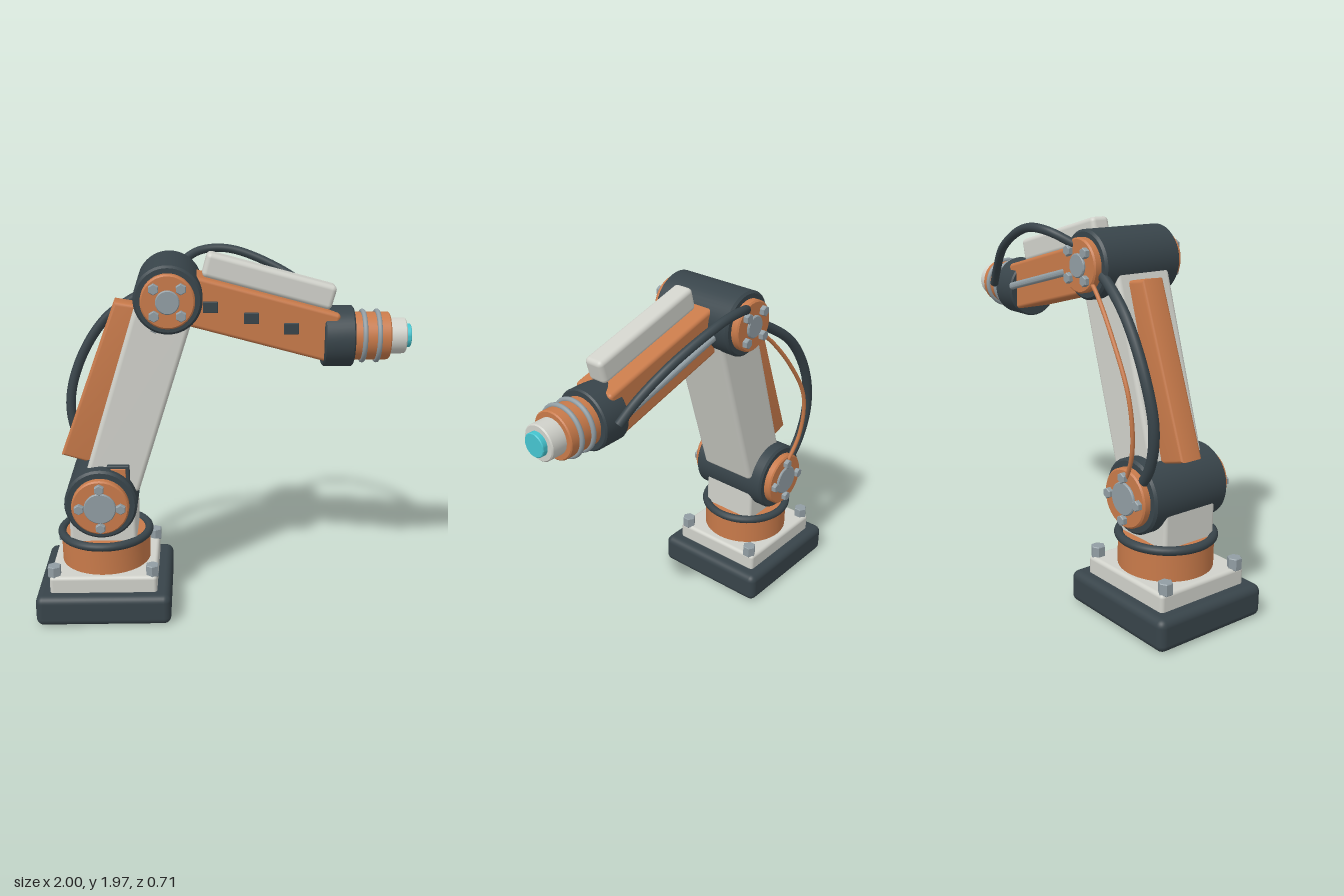
import * as THREE from 'three';
import { toCreasedNormals } from 'three/addons/utils/BufferGeometryUtils.js';
import { RoundedBoxGeometry } from 'three/addons/geometries/RoundedBoxGeometry.js';

const paint = (name, color) => {
  const m = new THREE.MeshStandardMaterial({ color });
  m.name = name;
  return m;
};

export function createModel() {
  const dark = paint('charcoal', 0x38444a);
  const orange = paint('orange', 0xc87a4a);
  const white = paint('offWhite', 0xd0d1ca);
  const steel = paint('steel', 0x919da3);
  const cyan = paint('cyan', 0x45c4cf);

  const model = new THREE.Group();
  model.name = 'robotArm';
  const Z = 0.015; // centre plane of the arm
  const BASE_X = -0.635;
  const ELBOW = [-0.262, 1.765];

  function add(parent, name, geometry, material, x = 0, y = 0, z = 0) {
    const mesh = new THREE.Mesh(geometry, material);
    mesh.name = name;
    mesh.position.set(x, y, z);
    parent.add(mesh);
    return mesh;
  }
  const group = (name, x, y, z) => {
    const g = new THREE.Group();
    g.name = name;
    g.position.set(x, y, z);
    model.add(g);
    return g;
  };
  const box = (w, h, d, r = 0.02) => new RoundedBoxGeometry(w, h, d, 4, r);

  // Cylinder with chamfered rims, along 'x', 'y' or 'z'
  function drum(r, length, axis = 'y', b = 0.01, sides = 48) {
    const h = length / 2;
    const profile = [[0, -h], [r - b, -h], [r, b - h], [r, h - b], [r - b, h], [0, h]]
      .map(([x, y]) => new THREE.Vector2(x, y));
    const g = new THREE.LatheGeometry(profile, sides);
    if (axis === 'x') g.rotateZ(-Math.PI / 2);
    if (axis === 'z') g.rotateX(Math.PI / 2);
    return toCreasedNormals(g, 0.5);
  }
  const bolt = (r, length, axis) => drum(r, length, axis, 0.004, 6);

  function cable(name, points, radius, material) {
    const curve = new THREE.CatmullRomCurve3(points.map(p => new THREE.Vector3(...p)));
    add(model, name, new THREE.TubeGeometry(curve, 64, radius, 12), material);
  }

  // Base with plate, corner bolts and turntable
  const base = group('base', BASE_X, 0, Z);
  add(base, 'foot', box(0.73, 0.172, 0.68, 0.04), dark, 0, 0.086);
  add(base, 'basePlate', box(0.58, 0.12, 0.55, 0.02), white, 0, 0.204);
  for (const sx of [-1, 1]) for (const sz of [-1, 1]) {
    add(base, 'baseBolt', bolt(0.038, 0.065, 'y'), steel, sx * 0.265, 0.286, sz * 0.232);
  }
  add(base, 'turntable', drum(0.245, 0.18, 'y', 0.005), orange, 0, 0.34);
  const ring = add(base, 'turntableRing', new THREE.TorusGeometry(0.242, 0.023, 12, 56), dark, 0, 0.427);
  ring.rotation.x = Math.PI / 2;
  add(base, 'pedestal', box(0.36, 0.27, 0.33, 0.02), white, 0, 0.545);

  // Joint: drum with an identical bolted flange at each end
  function joint(name, x, y, r, flangeR, hubR, boltRing, phase) {
    const g = group(name, x, y, Z);
    add(g, name + 'Drum', drum(r, 0.475, 'z', 0.012), dark);
    for (const s of [-1, 1]) {
      add(g, 'flange', drum(flangeR, 0.06, 'z', 0.008), orange, 0, 0, s * 0.248);
      add(g, 'hub', drum(hubR, 0.04, 'z', 0.005), steel, 0, 0, s * 0.27);
      for (let i = 0; i < 4; i++) {
        const a = phase + i * Math.PI / 2;
        add(g, 'flangeBolt', bolt(0.028, 0.05, 'z'), steel,
          Math.cos(a) * boltRing, Math.sin(a) * boltRing, s * 0.278);
      }
    }
  }
  joint('shoulder', BASE_X, 0.671, 0.193, 0.152, 0.085, 0.11, 0);
  joint('elbow', ...ELBOW, 0.173, 0.136, 0.06, 0.095, Math.PI / 4);

  // Upper arm
  const upper = group('upperArm', -0.58, 0.751, Z);
  upper.rotation.z = -0.305;
  add(upper, 'upperArmBeam', box(0.3, 1.02, 0.335, 0.025), white, 0, 0.51);

  // Tapered cover along the back edge of the upper arm
  const b = 0.018;
  const outline = [[-0.835, 0.888], [-0.62, 0.822], [-0.38, 1.67], [-0.535, 1.695]]
    .map(([x, y]) => new THREE.Vector2(x, y));
  const coverGeo = new THREE.ExtrudeGeometry(new THREE.Shape(outline), {
    depth: 0.13 - 2 * b, bevelSize: b, bevelThickness: b, bevelSegments: 4,
  });
  add(model, 'upperArmCover', toCreasedNormals(coverGeo, 0.6), orange, 0, 0, -0.024 - 0.065 + b);

  // Small fittings on the front of the upper arm
  add(model, 'sensorFrame', box(0.12, 0.14, 0.05, 0.008), dark, -0.54, 0.805, 0.182);
  add(model, 'sensorPanel', box(0.08, 0.11, 0.012, 0.004), orange, -0.54, 0.805, 0.207);
  add(model, 'armBolt', bolt(0.027, 0.04, 'z'), steel, -0.328, 1.615, 0.19);

  // Forearm, built along local x
  const fore = group('forearm', ...ELBOW, Z);
  fore.rotation.z = -0.263;
  add(fore, 'forearmBeam', box(0.88, 0.257, 0.235, 0.02), orange, 0.44);
  add(fore, 'forearmCover', box(0.69, 0.128, 0.11, 0.025), white, 0.484, 0.19, 0.014);
  add(fore, 'forearmRod', drum(0.02, 0.75, 'x', 0.004, 16), steel, 0.46, 0, -0.145);
  [[-0.05, 1.711], [0.158, 1.653], [0.362, 1.598]].forEach(([x, y]) =>
    add(model, 'forearmVent', box(0.076, 0.058, 0.014, 0.004), dark, x, y, 0.159));

  // Wrist and tool, level along x
  const wrist = group('wrist', 0, 1.525, Z);
  add(wrist, 'wristCollar', drum(0.159, 0.158, 'x', 0.008), dark, 0.616);
  add(wrist, 'toolBody', drum(0.125, 0.22, 'x', 0.006), orange, 0.775);
  for (const x of [0.747, 0.822]) {
    const band = add(wrist, 'toolBand', new THREE.TorusGeometry(0.128, 0.013, 12, 48), steel, x);
    band.rotation.y = Math.PI / 2;
  }
  add(wrist, 'toolNose', drum(0.094, 0.11, 'x', 0.006), white, 0.917);
  add(wrist, 'toolLens', drum(0.062, 0.05, 'x', 0.004), cyan, 0.975);

  // Cables along the back
  cable('upperArmCable', [[-0.68, 0.7, -0.22], [-0.795, 0.88, -0.235], [-0.83, 1.08, -0.25],
    [-0.77, 1.32, -0.262], [-0.62, 1.56, -0.25], [-0.43, 1.7, -0.215], [-0.3, 1.765, -0.2]], 0.027, dark);
  cable('signalCable', [[-0.62, 0.72, -0.25], [-0.72, 0.95, -0.285], [-0.71, 1.2, -0.302],
    [-0.57, 1.45, -0.287], [-0.39, 1.66, -0.255], [-0.3, 1.72, -0.24]], 0.011, orange);
  cable('forearmCable', [[-0.23, 1.85, -0.23], [-0.1, 1.92, -0.32], [0.07, 1.925, -0.335],
    [0.38, 1.8, -0.28], [0.56, 1.655, -0.215], [0.65, 1.555, -0.18]], 0.023, dark);

  return model;
}
